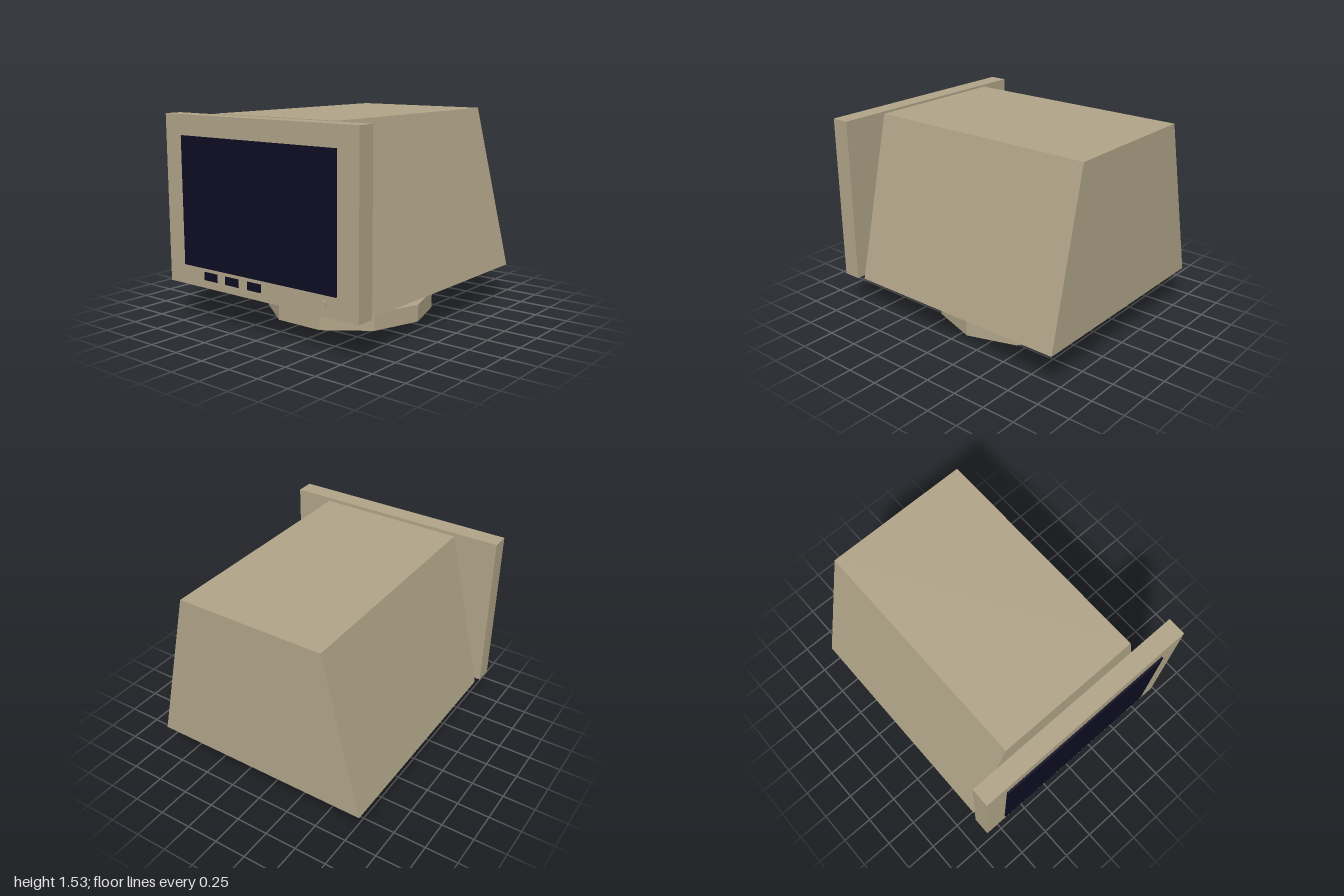
import * as THREE from 'three';

const beige = new THREE.MeshStandardMaterial({ color: 0xb0a488, flatShading: true });
beige.name = 'beige casing';
const dark = new THREE.MeshStandardMaterial({ color: 0x0c0c22, flatShading: true });
dark.name = 'dark glass';

export function createModel() {
  const model = new THREE.Group();
  model.name = 'monitor';

  const add = (name, geometry, material, x, y, z) => {
    const mesh = new THREE.Mesh(geometry, material);
    mesh.name = name;
    mesh.position.set(x, y, z);
    model.add(mesh);
    return mesh;
  };
  // Box given by its limits on each axis
  const box = (name, material, x0, x1, y0, y1, z0, z1) =>
    add(name, new THREE.BoxGeometry(x1 - x0, y1 - y0, z1 - z0), material,
      (x0 + x1) / 2, (y0 + y1) / 2, (z0 + z1) / 2);
  // Faceted disc of the stand, with a corner pointing along x
  const disc = (name, radius, sides, y0, y1) => {
    const mesh = add(name, new THREE.CylinderGeometry(radius, radius, y1 - y0, sides),
      beige, 0, (y0 + y1) / 2, -0.055);
    mesh.rotation.y = Math.PI / 2;
  };

  // Swivel stand
  disc('standBase', 0.64, 10, 0, 0.13);
  disc('standNeck', 0.32, 8, 0.13, 0.285);

  // Rear housing: a trapezoid section, narrower at the top
  const section = new THREE.Shape([
    new THREE.Vector2(-0.86, 0.285),
    new THREE.Vector2(0.86, 0.285),
    new THREE.Vector2(0.56, 1.53),
    new THREE.Vector2(-0.56, 1.53),
  ]);
  add('rearHousing', new THREE.ExtrudeGeometry(section, { depth: 1.8, bevelEnabled: false }),
    beige, 0, 0, -1);

  // Front panel, set slightly ahead of the housing, and its screen
  box('frontPanel', beige, -0.883, 0.883, 0.285, 1.53, 0.847, 0.985);
  box('screen', dark, -0.71, 0.71, 0.435, 1.38, 0.984, 1);

  // Row of control buttons and the power knob
  [-0.45, -0.238, -0.022].forEach((x, i) =>
    box(`button${i + 1}`, dark, x - 0.065, x + 0.065, 0.345, 0.405, 0.984, 0.991));
  const knob = add('powerKnob', new THREE.CylinderGeometry(0.025, 0.025, 0.012, 6),
    beige, 0.6, 0.375, 0.99);
  knob.rotation.x = Math.PI / 2;

  return model;
}
